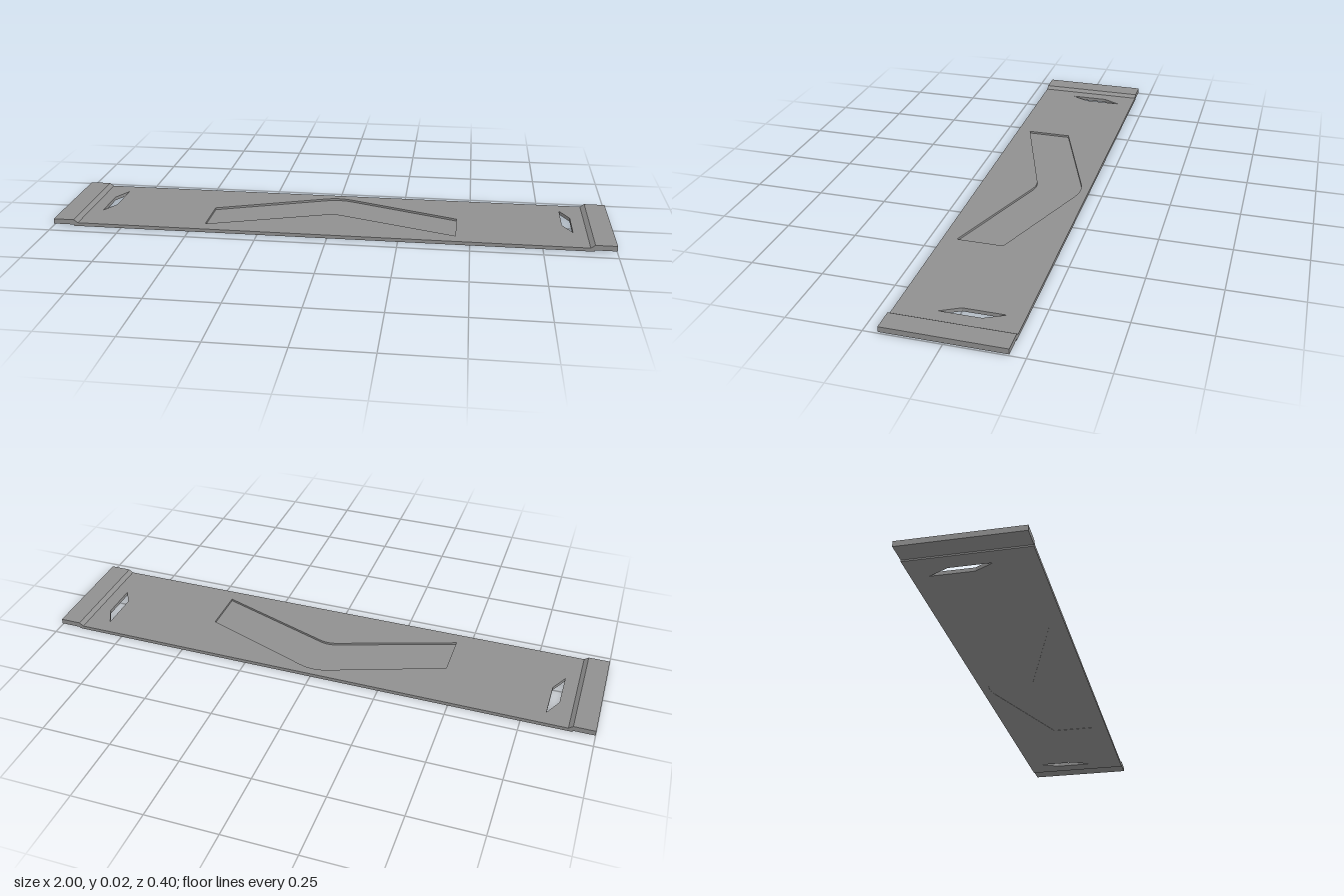
import * as THREE from 'three';

const W = 0.2;          // half width of the strip
const T = 0.0125;       // sheet thickness
const JOIN = 0.91;      // where the raised ends begin

// Outlines are drawn in plan as [x, z]; shape y is -z so the extrusion rises along +y
const planPoints = (pts) => pts.map(([x, z]) => new THREE.Vector2(x, -z));

function slab(shape, height) {
  const geo = new THREE.ExtrudeGeometry(shape, { depth: height, bevelEnabled: false, curveSegments: 6 });
  return geo.rotateX(-Math.PI / 2);
}

// Shallow chevron with softly rounded bends
function chevron(PathType) {
  const p = new PathType();
  p.moveTo(-0.45, -0.15);
  p.lineTo(-0.45, 0.012);
  p.lineTo(-0.05, 0.16);
  p.quadraticCurveTo(0, 0.178, 0.05, 0.16);
  p.lineTo(0.45, 0.012);
  p.lineTo(0.45, -0.15);
  p.lineTo(0.03, -0.003);
  p.quadraticCurveTo(0, 0.007, -0.03, -0.003);
  p.closePath();
  return p;
}

export function createModel() {
  const group = new THREE.Group();
  const material = new THREE.MeshStandardMaterial({ color: 0x909090 });
  const add = (name, geo) => {
    const mesh = new THREE.Mesh(geo, material);
    mesh.name = name;
    group.add(mesh);
    return mesh;
  };

  // Main strip with two slanted slots and the chevron opening
  const strip = new THREE.Shape(planPoints([[-JOIN, W], [JOIN, W], [JOIN, -W], [-JOIN, -W]]));
  for (const s of [-1, 1]) {
    strip.holes.push(new THREE.Path(planPoints([
      [s * 0.862, -0.075], [s * 0.828, -0.142], [s * 0.828, 0], [s * 0.862, 0.064],
    ])));
  }
  strip.holes.push(chevron(THREE.Path));
  add('strip', slab(strip, T));

  // Thin floor inside the chevron, set just above the underside
  add('recessFloor', slab(chevron(THREE.Shape), 0.004).translate(0, 0.001, 0));

  // Raised ends: a ramp on top and a square step underneath
  const profile = new THREE.Shape([
    [JOIN, 0], [0.925, 0], [0.925, 0.005], [1, 0.005],
    [1, 0.0235], [0.925, 0.0235], [JOIN, T],
  ].map(([x, y]) => new THREE.Vector2(x, y)));
  const endGeo = new THREE.ExtrudeGeometry(profile, { depth: 2 * W, bevelEnabled: false });
  endGeo.translate(0, 0, -W);
  add('leftEnd', endGeo);
  add('rightEnd', endGeo).rotation.y = Math.PI;

  return group;
}
